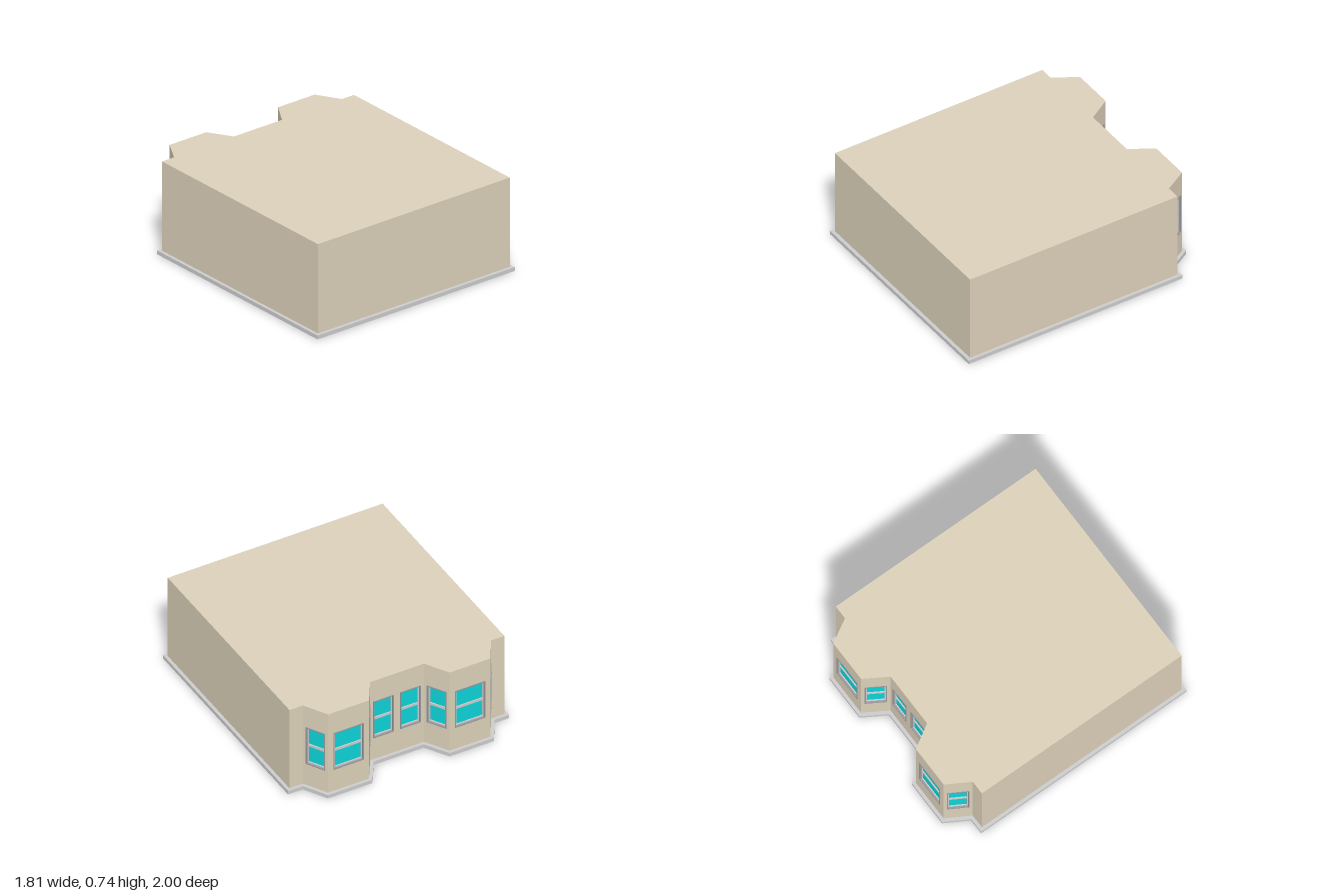
import * as THREE from 'three';

const BASE = 0.03, TOP = 0.735;
const mat = (color, side = THREE.FrontSide) =>
  new THREE.MeshStandardMaterial({ color, side, flatShading: true });

// Half plan [x, z] from front corner to the middle of the back; mirrored to close the loop
const plan = (half) => [...half, ...half.slice().reverse().map(([x, z]) => [-x, z])];
const wallPlan = plan([[0.88, 0.973], [0.88, -0.795], [0.77, -0.795], [0.665, -0.975], [0.33, -0.975], [0.22, -0.795]]);
const basePlan = plan([[0.905, 1], [0.905, -0.82], [0.785, -0.82], [0.68, -1], [0.315, -1], [0.205, -0.82]]);

const planPoints = (pts) => pts.map(([x, z]) => new THREE.Vector2(x, -z));

function rect(cls, x, y, w, h) {
  return new cls([[-1, -1], [1, -1], [1, 1], [-1, 1]].map(([i, j]) => new THREE.Vector2(x + i * w / 2, y + j * h / 2)));
}

export function createModel() {
  const model = new THREE.Group();
  const wallMat = mat(0xdbd0b9, THREE.DoubleSide);
  const frameMat = mat(0x97979d), sashMat = mat(0xbdbdbd);
  const glassMat = mat(0x0cd2d6, THREE.DoubleSide);
  const add = (parent, name, geometry, material, x = 0, y = 0, z = 0) => {
    const mesh = new THREE.Mesh(geometry, material);
    mesh.name = name;
    mesh.position.set(x, y, z);
    parent.add(mesh);
    return mesh;
  };

  // Rectangular ring, used for the outer frame and the sash
  const ring = (w, h, bar, depth) => {
    const shape = rect(THREE.Shape, 0, 0, w, h);
    shape.holes.push(rect(THREE.Path, 0, 0, w - 2 * bar, h - 2 * bar));
    return new THREE.ExtrudeGeometry(shape, { depth, bevelEnabled: false });
  };

  // Recessed window with two panes, facing local +z
  const WIN_H = 0.33, WIN_Y = 0.385;
  function makeWindow(w) {
    const win = new THREE.Group();
    win.name = 'window';
    add(win, 'windowFrame', ring(w, WIN_H, 0.008, 0.029), frameMat, 0, 0, -0.025);
    add(win, 'windowSash', ring(w - 0.016, WIN_H - 0.016, 0.009, 0.014), sashMat, 0, 0, -0.024);
    add(win, 'middleRail', new THREE.BoxGeometry(w - 0.034, 0.02, 0.014), sashMat, 0, 0, -0.017);
    add(win, 'glass', new THREE.PlaneGeometry(w - 0.03, WIN_H - 0.03), glassMat, 0, 0, -0.019);
    return win;
  }

  // Plinth ring around the foot of the walls
  const plinthShape = new THREE.Shape(planPoints(basePlan));
  plinthShape.holes.push(new THREE.Path(planPoints(wallPlan)));
  const plinthGeo = new THREE.ExtrudeGeometry(plinthShape, { depth: BASE, bevelEnabled: false });
  add(model, 'plinth', plinthGeo.rotateX(-Math.PI / 2), mat(0xbcbcbe));

  // Flat roof
  const roofGeo = new THREE.ShapeGeometry(new THREE.Shape(planPoints(wallPlan)));
  add(model, 'roof', roofGeo.rotateX(-Math.PI / 2), wallMat, 0, TOP, 0);

  // Windows by wall index: [offset along wall, width]
  const slant = [[0, 0.16]], bay = [[0, 0.248]], middle = [[-0.11, 0.168], [0.11, 0.168]];
  const windows = { 2: slant, 3: bay, 4: slant, 5: middle, 6: slant, 7: bay, 8: slant };

  // One wall panel per side of the plan, with openings cut for its windows
  wallPlan.forEach(([ax, az], i) => {
    const [bx, bz] = wallPlan[(i + 1) % wallPlan.length];
    const dx = bx - ax, dz = bz - az;
    const side = new THREE.Group();
    side.name = windows[i] ? 'windowWall' : 'plainWall';
    side.position.set((ax + bx) / 2, 0, (az + bz) / 2);
    side.rotation.y = Math.atan2(-dz, dx);
    const shape = rect(THREE.Shape, 0, (BASE + TOP) / 2, Math.hypot(dx, dz), TOP - BASE);
    for (const [x, w] of windows[i] ?? []) {
      shape.holes.push(rect(THREE.Path, x, WIN_Y, w, WIN_H));
      const win = makeWindow(w);
      win.position.set(x, WIN_Y, 0);
      side.add(win);
    }
    add(side, 'wallPanel', new THREE.ShapeGeometry(shape), wallMat);
    model.add(side);
  });

  return model;
}
